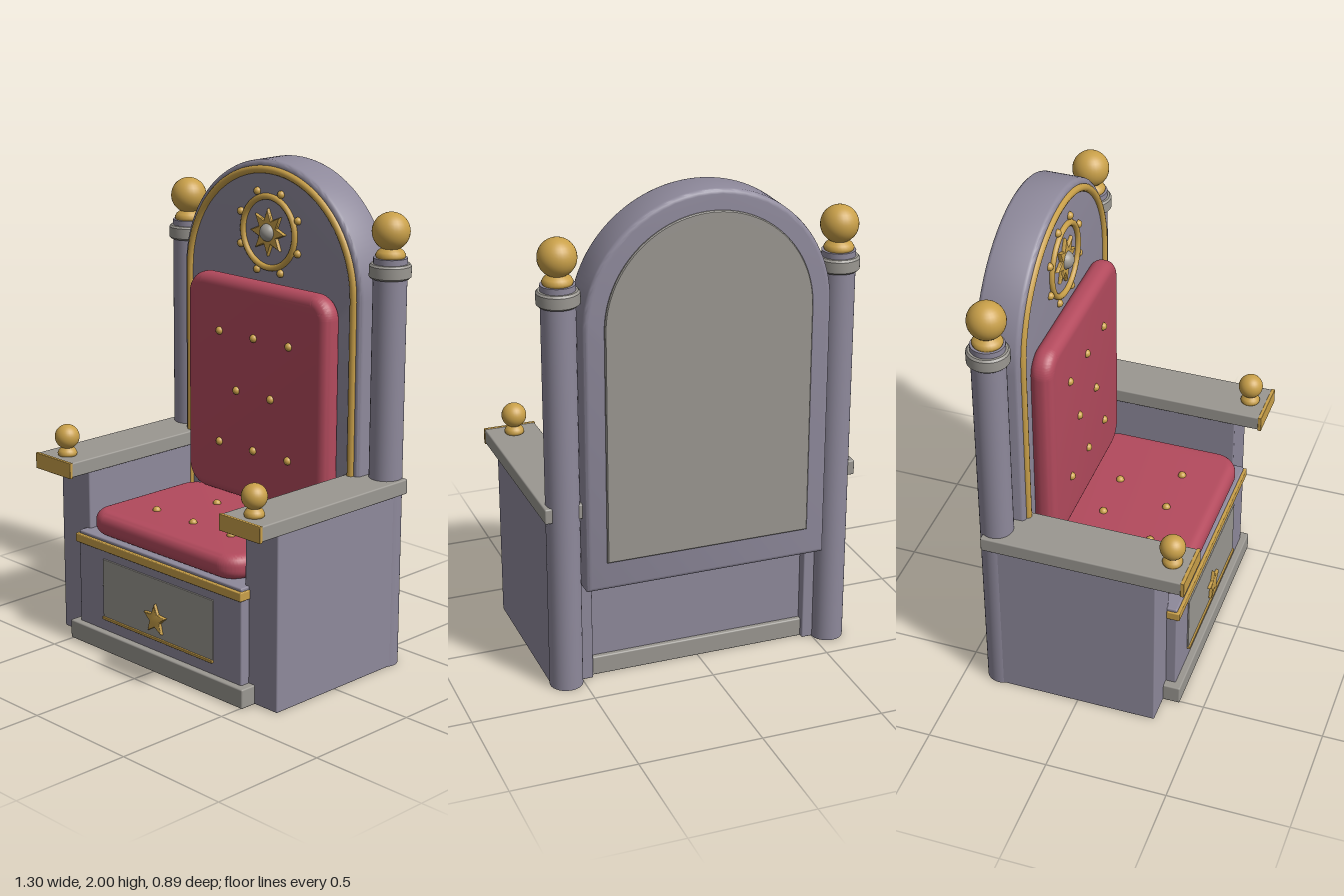
import * as THREE from 'three';
import { toCreasedNormals } from 'three/addons/utils/BufferGeometryUtils.js';
import { RoundedBoxGeometry } from 'three/addons/geometries/RoundedBoxGeometry.js';

const mat = (name, color) => new THREE.MeshStandardMaterial({ name, color });

export function createModel() {
  const stone = mat('violet stone', 0x8e899b);
  const pale = mat('pale stone', 0x9a9791);
  const gold = mat('gold', 0xc9a049);
  const red = mat('red velvet', 0xb34a5d);
  const throne = new THREE.Group();
  throne.name = 'throne';

  const add = (name, geo, m, x = 0, y = 0, z = 0, parent = throne) => {
    const mesh = new THREE.Mesh(geo, m);
    mesh.name = name;
    mesh.position.set(x, y, z);
    parent.add(mesh);
    return mesh;
  };
  // Box given by its limits, with softened edges
  const box = (name, m, [x0, x1], [y0, y1], [z0, z1], r = 0.006, parent = throne) =>
    add(name, new RoundedBoxGeometry(x1 - x0, y1 - y0, z1 - z0, 2, r), m,
      (x0 + x1) / 2, (y0 + y1) / 2, (z0 + z1) / 2, parent);
  const ball = (name, m, r, x, y, z, parent = throne) =>
    add(name, new THREE.SphereGeometry(r, 28, 18), m, x, y, z, parent);

  // Bevelled slab from z = 0 to z = depth; the shape is drawn inset by the bevel
  const slab = (shape, depth, bevel, segments) => {
    const geo = new THREE.ExtrudeGeometry(shape, {
      depth: depth - 2 * bevel, bevelSize: bevel, bevelThickness: bevel,
      bevelSegments: segments, curveSegments: 32, bevelEnabled: bevel > 0,
    });
    geo.translate(0, 0, bevel);
    return toCreasedNormals(geo, 0.6);
  };
  const arch = (r, bottom, spring) => {
    const s = new THREE.Shape();
    s.moveTo(-r, bottom);
    s.lineTo(r, bottom);
    s.lineTo(r, spring);
    s.absarc(0, spring, r, 0, Math.PI, false);
    s.closePath();
    return s;
  };
  const roundRect = (w, h, r) => {
    const s = new THREE.Shape(), x = w / 2 - r, y = h / 2 - r;
    s.absarc(x, y, r, 0, Math.PI / 2);
    s.absarc(-x, y, r, Math.PI / 2, Math.PI);
    s.absarc(-x, -y, r, Math.PI, Math.PI * 1.5);
    s.absarc(x, -y, r, Math.PI * 1.5, Math.PI * 2);
    s.closePath();
    return s;
  };
  const star = (points, outer, inner) => {
    const pts = [];
    for (let i = 0; i < points * 2; i++) {
      const a = Math.PI / 2 + (i * Math.PI) / points, r = i % 2 ? inner : outer;
      pts.push(new THREE.Vector2(Math.cos(a) * r, Math.sin(a) * r));
    }
    return new THREE.Shape(pts);
  };
  const cushion = (w, h, depth, corner, b) =>
    slab(roundRect(w - 2 * b, h - 2 * b, corner - b), depth, b, 7);

  // Seat base and plinth
  box('plinth', pale, [-0.51, 0.51], [0, 0.08], [-0.33, 0.4]);
  box('seatBase', stone, [-0.477, 0.477], [0.07, 0.48], [-0.31, 0.372]);
  box('seatBand', gold, [-0.485, 0.485], [0.43, 0.467], [0.33, 0.385], 0.004);
  box('frontPanel', pale, [-0.325, 0.325], [0.135, 0.392], [0.36, 0.378], 0.003);
  box('panelTrim', gold, [-0.325, 0.325], [0.13, 0.142], [0.36, 0.386], 0.003);
  add('frontStar', slab(star(5, 0.06, 0.025), 0.018, 0.005, 2), gold, 0, 0.22, 0.374);

  // Backrest slab, rear panel and gilded edge
  add('backrest', slab(arch(0.482, 0.448, 1.5), 0.18, 0.018, 3), stone, 0, 0, -0.435);
  add('rearPanel', slab(arch(0.416, 0.554, 1.5), 0.02, 0.004, 1), pale, 0, 0, -0.445);
  const edge = new THREE.CurvePath(), er = 0.462;
  const trimPoint = (x, y) => new THREE.Vector3(x, y, -0.255);
  edge.add(new THREE.LineCurve3(trimPoint(er, 0.48), trimPoint(er, 1.5)));
  const arc = [];
  for (let i = 0; i <= 24; i++) {
    const a = (i / 24) * Math.PI;
    arc.push(trimPoint(Math.cos(a) * er, 1.5 + Math.sin(a) * er));
  }
  edge.add(new THREE.CatmullRomCurve3(arc));
  edge.add(new THREE.LineCurve3(trimPoint(-er, 1.5), trimPoint(-er, 0.48)));
  add('backrestTrim', new THREE.TubeGeometry(edge, 120, 0.016, 10), gold);

  // Wheel emblem
  const emblem = new THREE.Group();
  emblem.name = 'wheelEmblem';
  emblem.position.set(0, 1.71, -0.255);
  throne.add(emblem);
  add('wheelRing', new THREE.TorusGeometry(0.145, 0.013, 10, 48), gold, 0, 0, 0.004, emblem);
  add('wheelStar', slab(star(8, 0.092, 0.048), 0.018, 0.004, 1), gold, 0, 0, -0.004, emblem);
  ball('wheelHub', pale, 0.038, 0, 0, 0.004, emblem);
  for (let i = 0; i < 8; i++) {
    const a = ((i + 0.5) * Math.PI) / 4;
    ball('wheelKnob', gold, 0.016, Math.cos(a) * 0.173, Math.sin(a) * 0.173, 0.002, emblem);
  }

  // Cushions
  add('backCushion', cushion(0.8, 0.93, 0.095, 0.1, 0.042), red, 0, 1.048, -0.262);
  const seat = add('seatCushion', cushion(0.864, 0.63, 0.1, 0.1, 0.042), red, 0, 0.48, 0.055);
  seat.rotation.x = -Math.PI / 2;

  // Cushion buttons
  for (const [y, xs] of [[1.285, [-0.197, 0, 0.197]], [1.048, [-0.098, 0.098]], [0.81, [-0.197, 0, 0.197]]])
    for (const x of xs) ball('backButton', gold, 0.017, x, y, -0.168);
  for (const [z, xs] of [[0.173, [-0.217, 0, 0.217]], [-0.065, [-0.108, 0.108]]])
    for (const x of xs) ball('seatButton', gold, 0.017, x, 0.58, z);

  // Ball on a turned foot, scaled by ball radius
  const finial = (name, r, ballY, footY, x, z) => {
    const g = new THREE.Group();
    g.name = name;
    g.position.set(x, 0, z);
    throne.add(g);
    const h = ballY - r * 0.8 - footY;
    const profile = [[0, 0], [0.75 * r, 0], [0.8 * r, h * 0.3], [0.7 * r, h * 0.6], [0.4 * r, h], [0, h + 0.01]]
      .map(([px, py]) => new THREE.Vector2(px, py));
    add('finialFoot', new THREE.LatheGeometry(profile, 28), gold, 0, footY, 0, g);
    ball('finialBall', gold, r, 0, ballY, 0, g);
  };

  // Arms and rear columns, mirrored
  for (const s of [-1, 1]) {
    const span = (a, b) => (s > 0 ? [a, b] : [-b, -a]);
    const side = s > 0 ? 'left' : 'right';
    box(side + 'ArmBlock', stone, span(0.455, 0.63), [0, 0.74], [-0.35, 0.33]);
    box(side + 'Armrest', pale, span(0.435, 0.65), [0.728, 0.79], [-0.385, 0.441]);
    box(side + 'ArmrestCap', gold, span(0.433, 0.652), [0.725, 0.792], [0.435, 0.45], 0.003);
    finial(side + 'ArmFinial', 0.051, 0.868, 0.788, s * 0.543, 0.37);

    const x = s * 0.567, z = -0.345;
    add(side + 'Column', new THREE.CylinderGeometry(0.067, 0.067, 1.678, 32), stone, x, 0.839, z);
    const collar = [[0.06, 0], [0.076, 0], [0.083, 0.007], [0.083, 0.05], [0.076, 0.058], [0.06, 0.058]]
      .map(([px, py]) => new THREE.Vector2(px, py));
    add(side + 'Collar', toCreasedNormals(new THREE.LatheGeometry(collar, 32), 0.6), pale, x, 1.597, z);
    finial(side + 'ColumnFinial', 0.075, 1.78, 1.675, x, z);
  }
  return throne;
}
